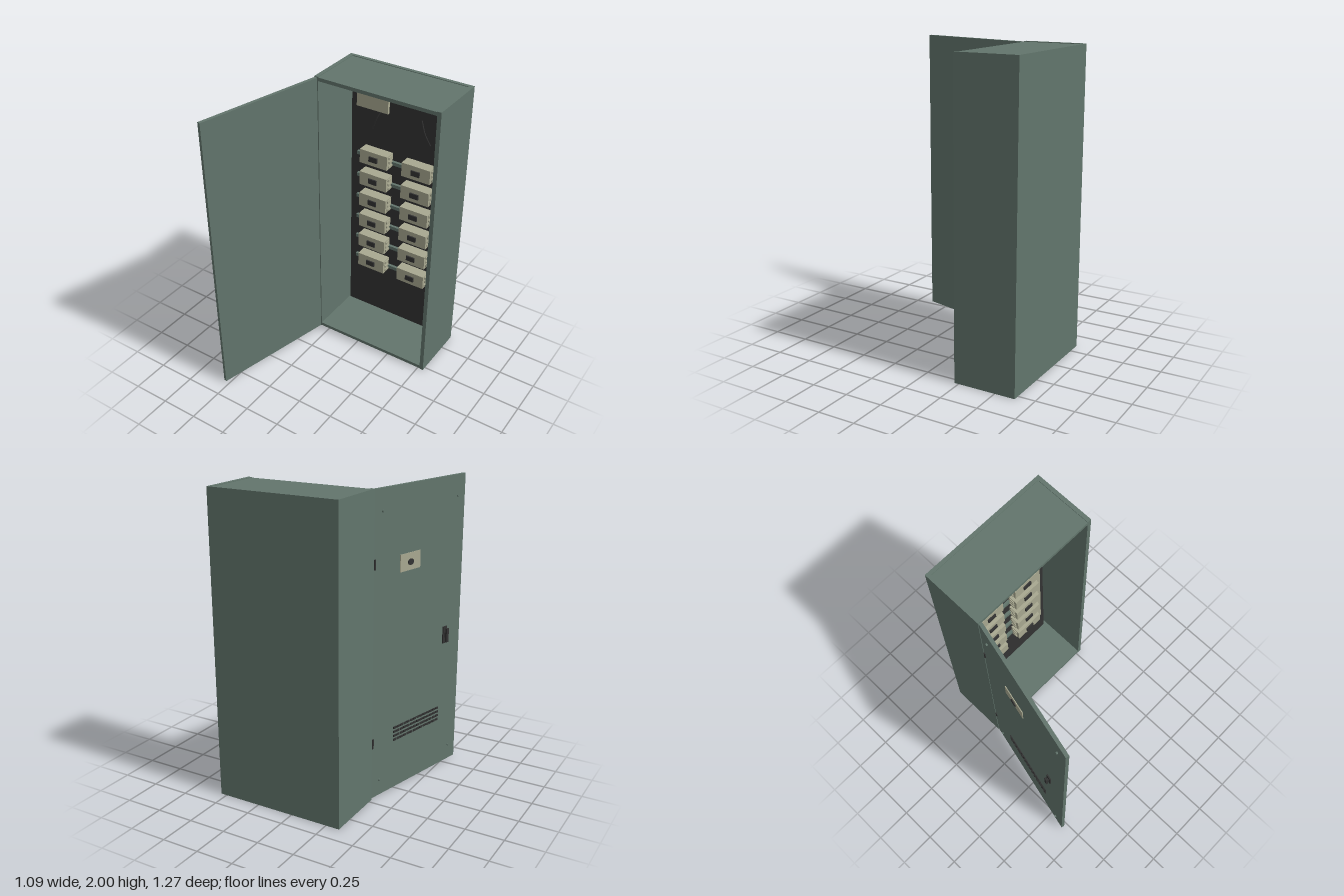
import * as THREE from 'three';

const paint = (name, color, side = THREE.FrontSide) => {
  const m = new THREE.MeshStandardMaterial({ color, side });
  m.name = name;
  return m;
};

export function createModel() {
  const green = paint('cabinetGreen', 0x62756c);
  const beige = paint('breakerBeige', 0xa8a890);
  const dark = paint('darkPanel', 0x333333);

  const model = new THREE.Group();
  model.name = 'electricalCabinet';

  // Box given by its min and max corners
  const box = (parent, name, mat, [x0, x1], [y0, y1], [z0, z1]) => {
    const mesh = new THREE.Mesh(new THREE.BoxGeometry(x1 - x0, y1 - y0, z1 - z0), mat);
    mesh.position.set((x0 + x1) / 2, (y0 + y1) / 2, (z0 + z1) / 2);
    mesh.name = name;
    parent.add(mesh);
    return mesh;
  };

  // Cabinet shell, open at the front; top and floor sit slightly inside the walls
  const shell = new THREE.Group();
  shell.name = 'shell';
  model.add(shell);
  const depth = [-0.61, -0.22];
  box(shell, 'backWall', green, [-0.342, 0.542], [0, 2], [-0.635, -0.61]);
  box(shell, 'rightWall', green, [-0.342, -0.315], [0, 2], depth);
  box(shell, 'leftWall', green, [0.515, 0.542], [0, 2], depth);
  box(shell, 'roof', green, [-0.315, 0.515], [1.972, 1.996], depth);
  box(shell, 'floor', green, [-0.315, 0.515], [0.004, 0.028], depth);

  // Mounting plate and its equipment
  const inside = new THREE.Group();
  inside.name = 'equipment';
  model.add(inside);
  box(inside, 'mountingPlate', dark, [-0.28, 0.48], [0.07, 1.94], [-0.575, -0.555]);
  box(inside, 'controlBox', beige, [-0.232, 0.005], [1.7, 1.87], [-0.555, -0.535]);
  box(inside, 'verticalBusbar', beige, [0.39, 0.425], [0.39, 1.585], [-0.545, -0.525]);

  // Six rows of paired breakers on horizontal rails
  for (let row = 0; row < 6; row++) {
    const y = 1.375 - row * 0.17;
    box(inside, 'rail', green, [-0.225, 0.405], [y - 0.035, y - 0.01], [-0.555, -0.535]);
    for (const x of [-0.06, 0.26]) {
      const breaker = new THREE.Group();
      breaker.name = 'breaker';
      breaker.position.set(x, y, -0.555);
      inside.add(breaker);
      box(breaker, 'breakerBody', beige, [-0.105, 0.105], [-0.05, 0.05], [0.005, 0.08]);
      box(breaker, 'breakerToggle', dark, [-0.032, 0.032], [-0.018, 0.018], [0.08, 0.09]);
      for (const s of [-1, 1]) for (const k of [-1, 0, 1]) {
        box(breaker, 'terminal', beige, [s * 0.108 - 0.004, s * 0.108 + 0.004],
          [k * 0.032 - 0.008, k * 0.032 + 0.008], [0.02, 0.06]);
      }
    }
  }

  // Two splayed cables
  for (const s of [-1, 1]) {
    const at = (dx, y, z) => new THREE.Vector3(0.1 + s * dx, y, z);
    const path = new THREE.CatmullRomCurve3([
      at(0.145, 1.72, -0.55), at(0.18, 1.64, -0.535), at(0.215, 1.56, -0.55)]);
    const cable = new THREE.Mesh(new THREE.TubeGeometry(path, 12, 0.004, 6), dark);
    cable.name = 'cable';
    inside.add(cable);
  }

  // Open door: local x runs from the hinge, local z points outward
  const door = new THREE.Group();
  door.name = 'door';
  door.position.set(-0.328, 0, -0.217);
  door.rotation.y = -THREE.MathUtils.degToRad(103.7);
  model.add(door);
  const face = 0.011;
  box(door, 'doorPanel', green, [0, 0.872], [0.008, 1.995], [-face, face]);

  // Nameplate with a small switch
  box(door, 'nameplate', beige, [0.24, 0.43], [1.46, 1.57], [face, face + 0.005]);
  const knob = new THREE.Mesh(new THREE.CylinderGeometry(0.02, 0.02, 0.006, 20), dark);
  knob.name = 'plateSwitch';
  knob.rotation.x = Math.PI / 2;
  knob.scale.x = 1.3;
  knob.position.set(0.335, 1.512, face + 0.008);
  door.add(knob);

  // Latch handle
  box(door, 'handlePlate', dark, [0.69, 0.73], [0.89, 1.005], [face, face + 0.008]);
  box(door, 'handleStem', dark, [0.703, 0.717], [0.93, 0.965], [face + 0.008, face + 0.02]);
  box(door, 'handleGrip', dark, [0.699, 0.721], [0.9, 0.995], [face + 0.018, face + 0.03]);

  // Ventilation slots
  for (let r = 0; r < 4; r++) for (let c = 0; c < 14; c++) {
    const u = 0.207 + c * 0.0335, y = 0.345 + r * 0.028;
    box(door, 'ventSlot', dark, [u, u + 0.025], [y, y + 0.014], [face, face + 0.006]);
  }

  // Corner screws
  for (const u of [0.075, 0.795]) for (const y of [0.115, 1.86]) {
    const screw = new THREE.Mesh(new THREE.CylinderGeometry(0.008, 0.008, 0.01, 12), green);
    screw.name = 'screw';
    screw.rotation.x = Math.PI / 2;
    screw.position.set(u, y, face + 0.005);
    door.add(screw);
  }

  // Hinges
  for (const y of [0.39, 1.55]) {
    const hinge = new THREE.Mesh(new THREE.CylinderGeometry(0.007, 0.007, 0.065, 12), dark);
    hinge.name = 'hinge';
    hinge.position.set(0.01, y, face);
    door.add(hinge);
  }

  return model;
}
